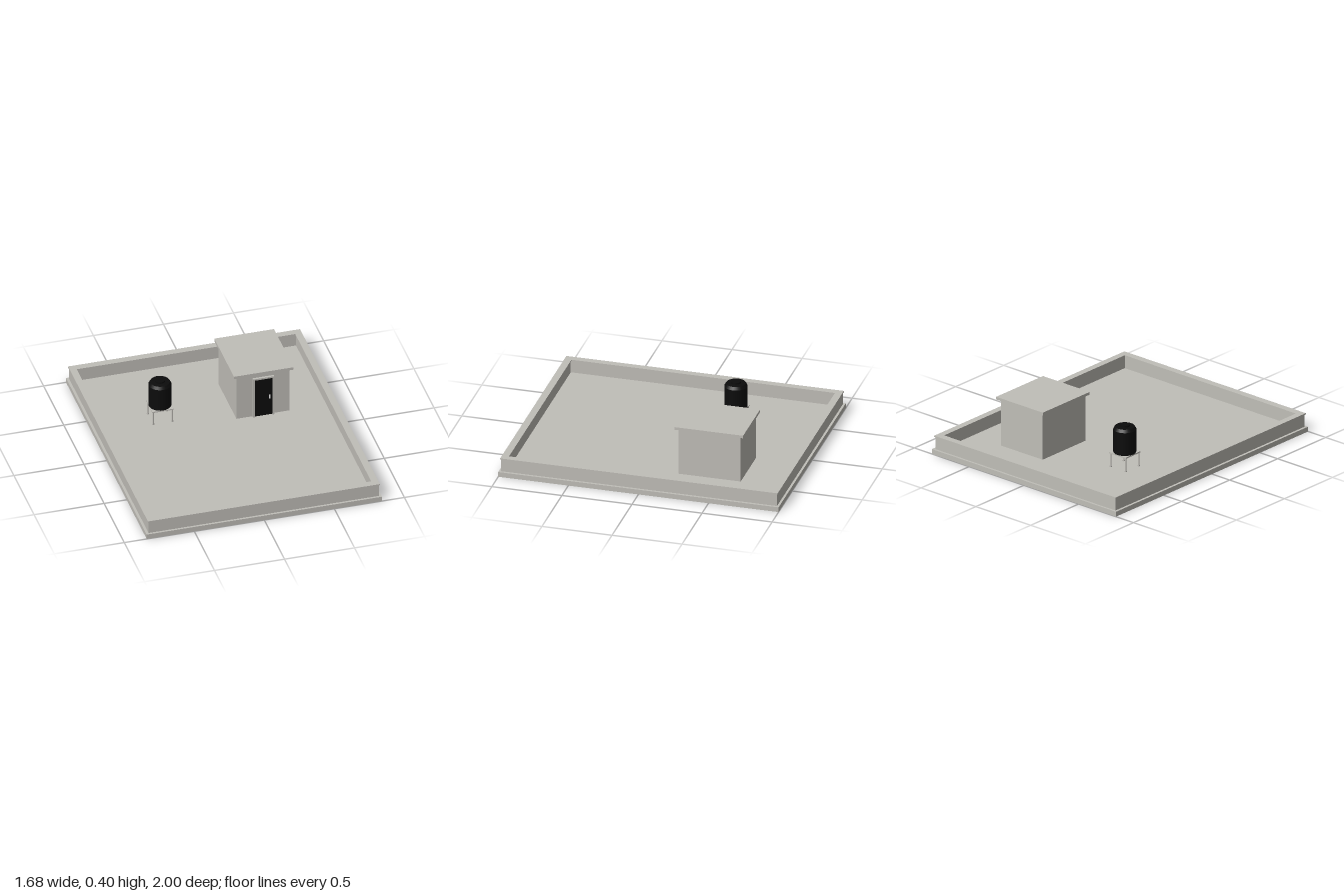
import * as THREE from 'three';

const mat = (name, color) => {
  const m = new THREE.MeshStandardMaterial({ color });
  m.name = name;
  return m;
};

export function createModel() {
  const concrete = mat('concrete grey', 0xc0beb8);
  const black = mat('black', 0x0c0c0c);
  const white = mat('handle white', 0xe8e8e8);
  const model = new THREE.Group();
  model.name = 'rooftop';

  const add = (name, geo, material, parent = model) => {
    const mesh = new THREE.Mesh(geo, material);
    mesh.name = name;
    parent.add(mesh);
    return mesh;
  };
  // Box given by its lower and upper limits on each axis
  const box = (name, [x0, x1], [y0, y1], [z0, z1], material, parent) => {
    const mesh = add(name, new THREE.BoxGeometry(x1 - x0, y1 - y0, z1 - z0), material, parent);
    mesh.position.set((x0 + x1) / 2, (y0 + y1) / 2, (z0 + z1) / 2);
    return mesh;
  };
  // Horizontal rectangular ring between an outer and an inner half size
  const outline = (path, w, d) =>
    path.moveTo(-w, -d).lineTo(w, -d).lineTo(w, d).lineTo(-w, d).closePath();
  const ring = (name, [ow, od], [iw, id], y0, y1) => {
    const shape = outline(new THREE.Shape(), ow, od);
    shape.holes.push(outline(new THREE.Path(), iw, id));
    const geo = new THREE.ExtrudeGeometry(shape, { depth: y1 - y0, bevelEnabled: false });
    geo.rotateX(-Math.PI / 2).translate(0, y0, 0);
    return add(name, geo, concrete);
  };

  // Roof slab, parapet wall and its thin coping
  const floor = 0.036;
  box('roofSlab', [-0.84, 0.84], [0, floor], [-1, 1], concrete);
  ring('parapet', [0.822, 0.984], [0.787, 0.947], floor, 0.127);
  ring('parapetCoping', [0.828, 0.99], [0.78, 0.94], 0.127, 0.136);

  // Stair house
  const house = new THREE.Group();
  house.name = 'stairHouse';
  model.add(house);
  box('houseWalls', [0.145, 0.525], [floor, 0.38], [-0.64, -0.195], concrete, house);
  box('houseRoof', [0.122, 0.548], [0.38, 0.4], [-0.664, -0.176], concrete, house);
  box('doorJambLeft', [0.399, 0.411], [floor, 0.338], [-0.2, -0.178], concrete, house);
  box('doorJambRight', [0.259, 0.271], [floor, 0.338], [-0.2, -0.178], concrete, house);
  box('doorHead', [0.259, 0.411], [0.338, 0.35], [-0.2, -0.178], concrete, house);
  box('door', [0.271, 0.399], [floor, 0.338], [-0.195, -0.187], black, house);
  box('doorHandle', [0.376, 0.384], [0.17, 0.2], [-0.187, -0.179], white, house);

  // Water tank on a four-legged stand
  const tank = new THREE.Group();
  tank.name = 'waterTank';
  tank.position.set(-0.355, 0, -0.355);
  model.add(tank);
  const profile = [
    [0, 0.145], [0.078, 0.145], [0.08, 0.15], [0.08, 0.315], [0.068, 0.336],
    [0.035, 0.338], [0.035, 0.35], [0, 0.35],
  ].map(([r, y]) => new THREE.Vector2(r, y));
  // Separate lathe segments keep the profile edges crisp
  for (let i = 0; i < profile.length - 1; i++) {
    add('tankShell', new THREE.LatheGeometry([profile[i], profile[i + 1]], 24), black, tank);
  }
  box('standTop', [-0.076, 0.076], [0.136, 0.145], [-0.076, 0.076], concrete, tank);
  for (const sx of [-1, 1]) {
    for (const sz of [-1, 1]) {
      const leg = add('standLeg', new THREE.CylinderGeometry(0.006, 0.006, 0.1, 12), concrete, tank);
      leg.position.set(sx * 0.068, floor + 0.05, sz * 0.068);
      const foot = add('standFoot', new THREE.CylinderGeometry(0.008, 0.008, 0.008, 12), concrete, tank);
      foot.position.set(sx * 0.068, floor + 0.004, sz * 0.068);
    }
  }
  return model;
}
